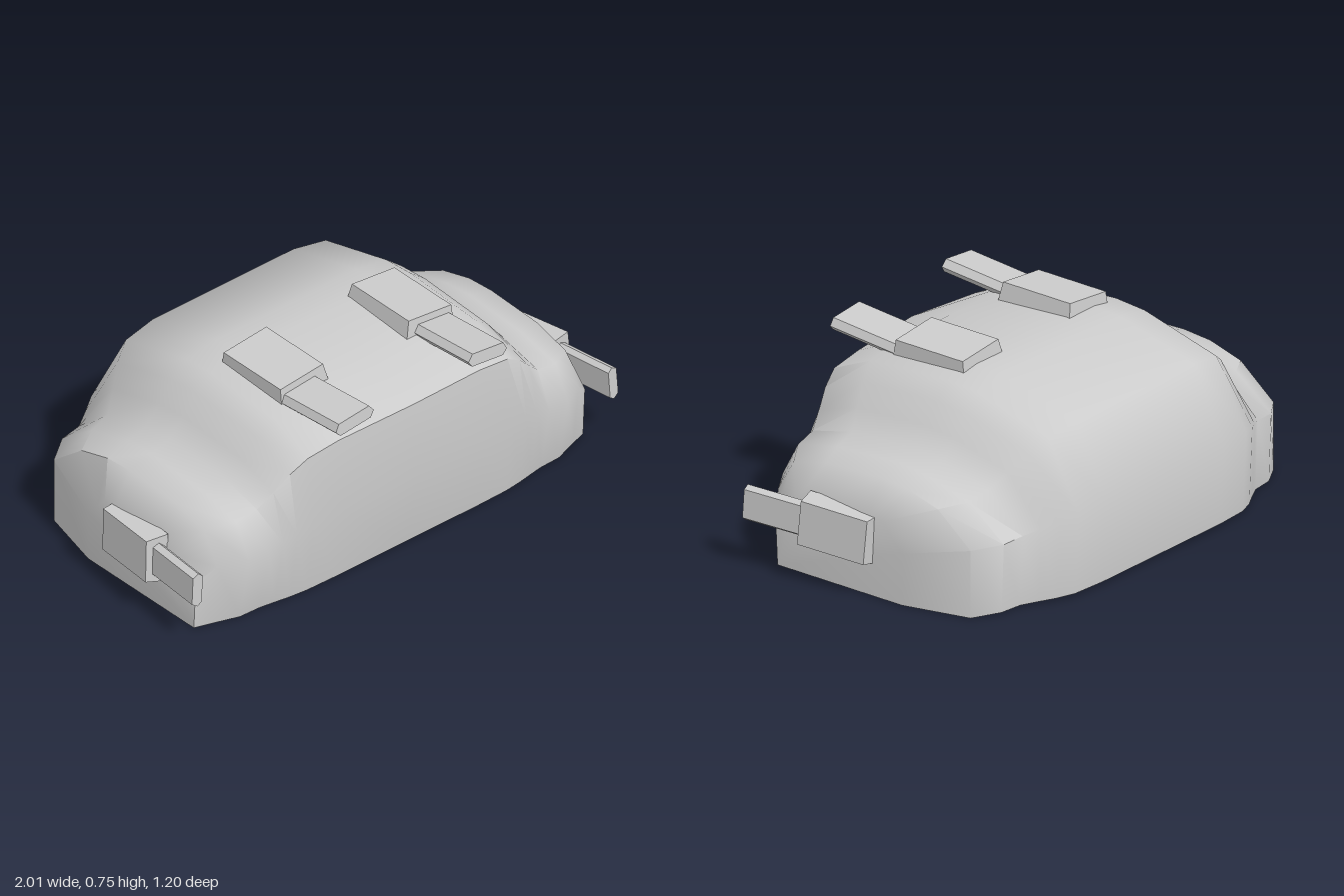
import * as THREE from 'three';
import { toCreasedNormals } from 'three/addons/utils/BufferGeometryUtils.js';

const material = new THREE.MeshStandardMaterial({ color: 0xcccccc });

// Side profiles as [z, y], from the front foot over the roof to the rear foot
const dome = [[0.52, 0.01], [0.555, 0.31], [0.53, 0.6], [0.36, 0.68], [0, 0.7], [-0.13, 0.69], [-0.47, 0.6], [-0.605, 0.33], [-0.59, 0.015]];
const fender = [[0.48, 0.005], [0.53, 0.27], [0.46, 0.4], [0.28, 0.44], [0, 0.455], [-0.13, 0.44], [-0.32, 0.39], [-0.48, 0.27], [-0.47, 0.005]];
const shoulder = [[0.44, 0], [0.47, 0.26], [0.4, 0.38], [0.25, 0.42], [0, 0.43], [-0.12, 0.42], [-0.26, 0.38], [-0.41, 0.26], [-0.41, 0]];
const cheek = [[0.42, 0], [0.43, 0.2], [0.34, 0.27], [0.22, 0.3], [0, 0.31], [-0.06, 0.3], [-0.1, 0.25], [-0.15, 0.2], [-0.15, 0]];

const lerp = THREE.MathUtils.lerp;
const blend = (t) => dome.map(([z, y], i) => [lerp(z, fender[i][0], t), lerp(y, fender[i][1], t)]);

// The front swells slightly along the centre line
const nose = dome.map(([z, y], i) => (i === 1 || i === 2 ? [z + 0.022, y + 0.015] : [z, y]));

// Half-hull stations: x and the profile there, the dome falling away into the fender
const stations = [
  [0, nose],
  ...[[0.33, 0], [0.47, 0.09], [0.54, 0.32], [0.6, 0.62], [0.66, 0.9], [0.75, 1]].map(([x, t]) => [x, blend(t)]),
  [0.85, shoulder],
  [0.915, cheek],
];

// Loft the mirrored stations across x, closing the underside and both cheeks
function hullGeometry() {
  const rings = [...stations.slice(1).reverse().map(([x, p]) => [-x, p]), ...stations];
  const n = dome.length;
  const positions = [];
  const index = [];
  for (const [x, profile] of rings) for (const [z, y] of profile) positions.push(x, y, z);
  for (let i = 0; i < rings.length - 1; i++) {
    for (let j = 0; j < n; j++) {
      const a = i * n + j, b = i * n + (j + 1) % n;
      index.push(a, a + n, b, b, a + n, b + n);
    }
  }
  const last = (rings.length - 1) * n;
  for (let j = 1; j < n - 1; j++) {
    index.push(0, j, j + 1);
    index.push(last, last + j + 1, last + j);
  }
  const g = new THREE.BufferGeometry();
  g.setAttribute('position', new THREE.Float32BufferAttribute(positions, 3));
  g.setIndex(index);
  return toCreasedNormals(g, 0.95);
}

function addMesh(parent, name, geometry) {
  const mesh = new THREE.Mesh(geometry, material);
  mesh.name = name;
  parent.add(mesh);
  return mesh;
}

// Rectangular block with sloping sides, its base centred on the origin
function taperedBlock(width, height, length, taper) {
  const g = new THREE.BoxGeometry(width, height, length).translate(0, height / 2, 0);
  const p = g.attributes.position;
  for (let i = 0; i < p.count; i++) {
    if (p.getY(i) < height / 2) continue;
    p.setX(i, p.getX(i) - Math.sign(p.getX(i)) * taper);
    p.setZ(i, p.getZ(i) - Math.sign(p.getZ(i)) * taper);
  }
  g.computeVertexNormals();
  return g;
}

// Flat six-sided bar running along +z from the origin
function barrelGeometry(width, height, length) {
  const w = width / 2, b = width * 0.4;
  const section = new THREE.Shape([
    [-b, 0], [b, 0], [w, height * 0.45], [b, height], [-b, height], [-w, height * 0.45],
  ].map(([x, y]) => new THREE.Vector2(x, y)));
  return new THREE.ExtrudeGeometry(section, { depth: length, bevelEnabled: false });
}

export function createModel() {
  const model = new THREE.Group();
  model.name = 'turret';
  addMesh(model, 'hull', hullGeometry());

  for (const side of [1, -1]) {
    const guns = new THREE.Group();
    guns.name = side > 0 ? 'leftGuns' : 'rightGuns';
    guns.scale.x = side;
    model.add(guns);

    // Roof gun, rolled slightly outward
    const roofHousing = addMesh(guns, 'roofHousing', taperedBlock(0.225, 0.085, 0.33, 0.012));
    roofHousing.position.set(0.293, 0.655, 0.145);
    roofHousing.rotation.z = -0.1;
    const roofBarrel = addMesh(guns, 'roofBarrel', barrelGeometry(0.18, 0.05, 0.315));
    roofBarrel.position.set(0.31, 0.66, 0.285);
    roofBarrel.rotation.set(-0.085, 0, -0.1, 'YXZ');

    // Cheek gun, turned on its side and splayed outward
    const cheekHousing = addMesh(guns, 'cheekHousing', taperedBlock(0.19, 0.085, 0.3, 0.012));
    cheekHousing.position.set(0.895, 0.222, 0.13);
    cheekHousing.rotation.set(-0.06, 0.13, -Math.PI / 2 + 0.06, 'YXZ');
    const cheekBarrel = addMesh(guns, 'cheekBarrel', barrelGeometry(0.135, 0.042, 0.265));
    cheekBarrel.position.set(0.928, 0.23, 0.25);
    cheekBarrel.rotation.set(-0.03, 0.11, -Math.PI / 2 + 0.06, 'YXZ');
  }
  return model;
}
